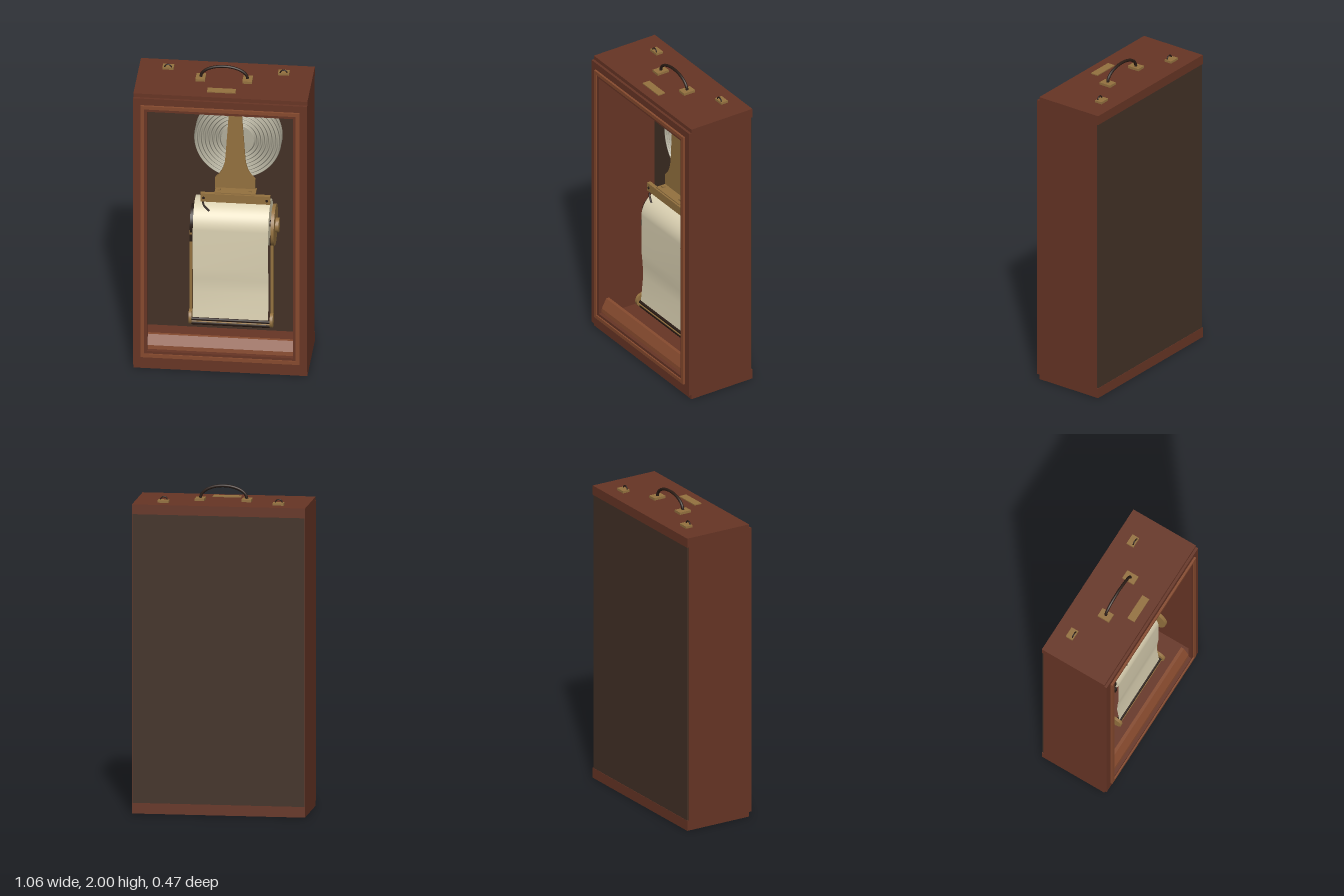
import * as THREE from 'three';

const mat = (name, color) => {
  const m = new THREE.MeshStandardMaterial({ color, side: THREE.DoubleSide });
  m.name = name;
  return m;
};

export function createModel() {
  const wood = mat('wood', 0x673525);
  const trim = mat('light wood', 0x864a2e);
  const board = mat('dark board', 0x433126);
  const brass = mat('brass', 0x94713f);
  const black = mat('black metal', 0x2a1c15);
  const paper = mat('paper', 0xdcd2b3);
  const silver = mat('silver', 0xb0ac9a);

  const root = new THREE.Group();
  const add = (name, geo, m, x = 0, y = 0, z = 0) => {
    const mesh = new THREE.Mesh(geo, m);
    mesh.name = name;
    mesh.position.set(x, y, z);
    root.add(mesh);
    return mesh;
  };
  // box given by its limits on each axis
  const box = (name, m, x0, x1, y0, y1, z0, z1) =>
    add(name, new THREE.BoxGeometry(x1 - x0, y1 - y0, z1 - z0), m, (x0 + x1) / 2, (y0 + y1) / 2, (z0 + z1) / 2);
  // cylinder lying along x
  const rod = (name, m, r, x0, x1, y, z, sides = 32) =>
    add(name, new THREE.CylinderGeometry(r, r, x1 - x0, sides).rotateZ(Math.PI / 2), m, (x0 + x1) / 2, y, z);
  const extrude = (shape, depth) => new THREE.ExtrudeGeometry(shape, { depth, bevelEnabled: false, curveSegments: 12 });
  // rectangular frame with an opening
  const frame = (name, m, [x, y0, y1], [hx, h0, h1], z0, z1) => {
    const rect = (a, b, c) => [[-a, b], [a, b], [a, c], [-a, c]].map(p => new THREE.Vector2(...p));
    const s = new THREE.Shape(rect(x, y0, y1));
    s.holes.push(new THREE.Path(rect(hx, h0, h1)));
    return add(name, extrude(s, z1 - z0), m, 0, 0, z0);
  };

  // case
  box('caseBottom', wood, -0.53, 0.53, 0, 0.065, -0.237, 0.208);
  box('caseTop', wood, -0.53, 0.53, 1.84, 1.9, -0.237, 0.208);
  for (const s of [-1, 1]) box('caseSide', wood, s * 0.52 - 0.01, s * 0.52 + 0.01, 0.065, 1.84, -0.226, 0.208);
  box('backBoard', board, -0.526, 0.526, 0.065, 1.84, -0.235, -0.22);

  // door frame and mouldings
  frame('doorFrame', wood, [0.53, 0.03, 1.875], [0.455, 0.115, 1.805], 0.208, 0.224);
  frame('outerMoulding', trim, [0.485, 0.09, 1.83], [0.462, 0.113, 1.808], 0.224, 0.2375);
  frame('innerMoulding', wood, [0.462, 0.113, 1.808], [0.445, 0.13, 1.788], 0.208, 0.229);

  // sloping ledge inside the opening
  const ledge = new THREE.Shape([[-0.21, 0.135], [-0.207, 0.16], [-0.175, 0.22], [-0.155, 0.22], [-0.155, 0.135]]
    .map(p => new THREE.Vector2(...p)));
  add('ledge', extrude(ledge, 0.89).rotateY(Math.PI / 2), trim, -0.445);

  // carrying handle on two plates
  const arc = [];
  for (let i = 0; i <= 16; i++) {
    const a = Math.PI * (1 - i / 16);
    arc.push(new THREE.Vector3(0.142 * Math.cos(a), 1.915 + 0.076 * Math.sin(a), -0.02));
  }
  add('handle', new THREE.TubeGeometry(new THREE.CatmullRomCurve3(arc), 40, 0.009, 10), black);
  for (const s of [-1, 1]) {
    box('handlePlate', brass, s * 0.143 - 0.029, s * 0.143 + 0.029, 1.9, 1.915, -0.06, 0.02);
    box('hookPlate', brass, s * 0.352 - 0.034, s * 0.352 + 0.034, 1.9, 1.914, -0.155, -0.107);
    add('hookRing', new THREE.TorusGeometry(0.021, 0.004, 8, 16, Math.PI), black, s * 0.352, 1.911, -0.116);
  }
  box('namePlate', brass, -0.088, 0.085, 1.9, 1.906, 0.1, 0.15);

  // corrugated pressure capsules
  const front = [];
  for (let i = 0; i <= 84; i++) {
    const t = i / 84;
    front.push(new THREE.Vector2(0.262 - 0.162 * t, 0.014 + 0.009 * Math.cos(t * Math.PI * 14)));
  }
  front.push(new THREE.Vector2(0.1, 0.026), new THREE.Vector2(0.001, 0.026));
  const rear = front.map(p => new THREE.Vector2(p.x, -p.y)).reverse();
  const profile = [...rear, new THREE.Vector2(0.266, -0.008), new THREE.Vector2(0.266, 0.008), ...front];
  const cx = 0.075, cy = 1.455;
  for (const z of [-0.1, -0.16])
    add('capsule', new THREE.LatheGeometry(profile, 72).rotateX(Math.PI / 2), silver, cx, cy, z);
  const axle = (name, m, r, z0, z1) =>
    add(name, new THREE.CylinderGeometry(r, r, z1 - z0, 32).rotateX(Math.PI / 2), m, cx, cy, (z0 + z1) / 2);
  axle('capsulePost', brass, 0.035, -0.22, -0.12);
  axle('capsuleBoss', silver, 0.035, -0.08, -0.005);

  // tapered bracket, symmetrical about its centre line
  const bracket = new THREE.Shape();
  bracket.moveTo(-0.122, 1.16);
  bracket.lineTo(0.122, 1.16);
  bracket.lineTo(0.122, 1.235);
  bracket.quadraticCurveTo(0.066, 1.28, 0.06, 1.38);
  bracket.lineTo(0.037, 1.71);
  bracket.lineTo(-0.037, 1.71);
  bracket.lineTo(-0.06, 1.38);
  bracket.quadraticCurveTo(-0.066, 1.28, -0.122, 1.235);
  add('bracket', extrude(bracket, 0.018), brass, 0.07, 0, -0.008);
  box('bracketTab', brass, 0.042, 0.098, 1.7, 1.716, -0.06, 0);
  box('bracketShelf', brass, -0.05, 0.2, 1.155, 1.167, -0.008, 0.075);
  box('crossBar', brass, -0.135, 0.29, 1.105, 1.16, 0.06, 0.085);
  for (const x of [-0.115, 0.27])
    add('barScrew', new THREE.CylinderGeometry(0.008, 0.008, 0.008, 12).rotateX(Math.PI / 2), black, x, 1.132, 0.086);
  for (const x of [-0.025, 0.165])
    box('shelfScrew', brass, x - 0.01, x + 0.01, 1.167, 1.176, 0.03, 0.05);

  // pen arm
  const pen = new THREE.CatmullRomCurve3([[-0.12, 1.11, 0.07], [-0.115, 1.08, 0.08], [-0.08, 1.045, 0.09]]
    .map(p => new THREE.Vector3(...p)));
  add('penArm', new THREE.TubeGeometry(pen, 10, 0.006, 8), black);

  // paper web passing over the drum and hanging to the lower roller
  const dy = 0.91, dz = -0.05, r = 0.145;
  const web = [];
  for (let i = 0; i <= 24; i++) {
    const a = Math.PI * (1 - i / 24);
    web.push([dz + r * Math.cos(a), dy + r * Math.sin(a)]);
  }
  web.push([0.095, 0.65], [0.087, 0.57], [0.083, 0.48], [0.1, 0.305]);
  const pos = [], idx = [];
  web.forEach(([z, y], i) => {
    pos.push(-0.18, y, z, 0.28, y, z);
    if (i) idx.push(2 * i - 2, 2 * i, 2 * i - 1, 2 * i - 1, 2 * i, 2 * i + 1);
  });
  const webGeo = new THREE.BufferGeometry();
  webGeo.setAttribute('position', new THREE.Float32BufferAttribute(pos, 3));
  webGeo.setIndex(idx);
  webGeo.computeVertexNormals();
  add('paperWeb', webGeo, paper);
  rod('drum', paper, 0.141, -0.178, 0.278, dy, dz, 48);

  // drum ends, drive wheel and knob
  rod('drumFlange', black, 0.1, -0.2, -0.18, 0.92, -0.02);
  rod('driveWheel', brass, 0.128, 0.297, 0.317, 0.925, 0.005, 40);
  rod('driveHub', brass, 0.045, 0.317, 0.338, 0.925, 0.005, 24);
  rod('drumAxle', black, 0.02, 0.27, 0.3, 0.92, -0.02, 16);

  // side rails and clamps
  for (const [x, s] of [[-0.195, -1], [0.3, 1]]) {
    box('sideRail', brass, x - 0.008, x + 0.008, 0.27, 0.9, 0.04, 0.07);
    box('railClamp', black, x - 0.01 - s * 0.004, x + 0.01 - s * 0.004, 0.825, 0.865, 0.03, 0.085);
    rod('rollerDisc', brass, 0.046, x - 0.009, x + 0.009, 0.305, 0.08, 24);
  }

  // lower rollers
  rod('upperRoller', black, 0.01, -0.2, 0.3, 0.3, 0.1, 12);
  rod('lowerRoller', black, 0.016, -0.19, 0.29, 0.272, 0.09, 16);
  rod('tensionRod', brass, 0.004, -0.19, 0.29, 0.287, 0.108, 8);

  return root;
}
